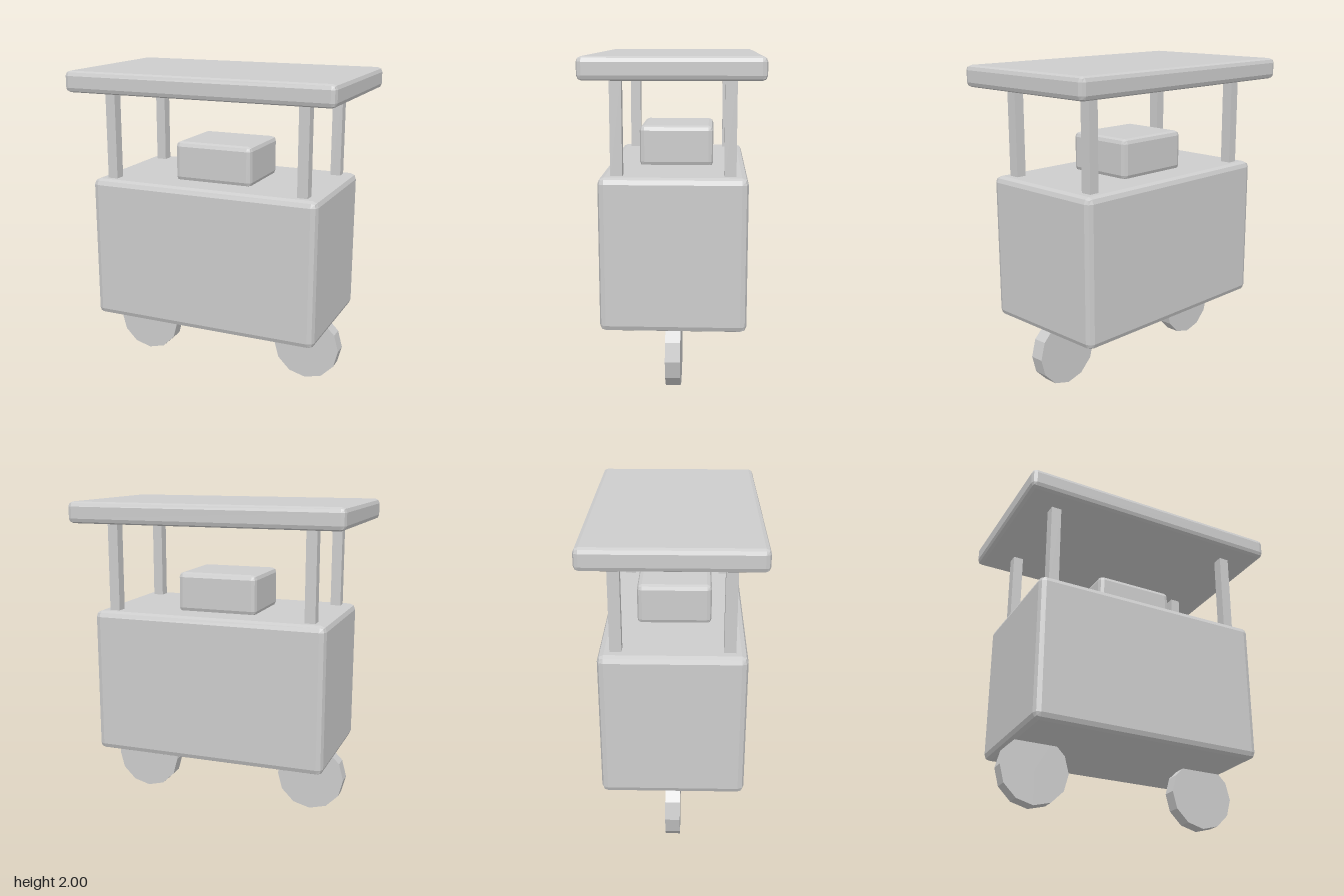
import * as THREE from 'three';
import { RoundedBoxGeometry } from 'three/addons/geometries/RoundedBoxGeometry.js';

export function createModel() {
  const model = new THREE.Group();
  model.name = 'vendorCart';
  const grey = new THREE.MeshStandardMaterial({ color: 0xcccccc, flatShading: true });
  grey.name = 'light grey';

  function add(name, geometry, x, y, z) {
    const mesh = new THREE.Mesh(geometry, grey);
    mesh.name = name;
    mesh.position.set(x, y, z);
    model.add(mesh);
    return mesh;
  }

  // Box with bevelled edges, spanning bottom to top
  function bevelled(name, width, depth, bottom, top, radius) {
    const geometry = new RoundedBoxGeometry(width, top - bottom, depth, 1, radius);
    add(name, geometry, 0, (bottom + top) / 2, 0);
  }

  bevelled('body', 1.51, 0.87, 0.385, 1.31, 0.038);
  bevelled('counterBox', 0.52, 0.46, 1.30, 1.555, 0.03);
  bevelled('roof', 1.745, 1.045, 1.867, 2, 0.03);

  // Four square posts carrying the roof
  const post = new THREE.BoxGeometry(0.066, 0.62, 0.07);
  for (const sx of [-1, 1]) {
    for (const sz of [-1, 1]) {
      const name = (sz > 0 ? 'front' : 'back') + (sx > 0 ? 'Left' : 'Right') + 'Post';
      add(name, post, sx * 0.643, 1.58, sz * 0.33);
    }
  }

  // Two twelve-sided wheels on the centre line, flat sides facing front and back
  const wheel = new THREE.CylinderGeometry(0.22, 0.22, 0.09, 12);
  wheel.rotateX(Math.PI / 2);
  for (const sx of [-1, 1]) {
    add(sx > 0 ? 'leftWheel' : 'rightWheel', wheel, sx * 0.585, 0.222, 0);
  }

  return model;
}
